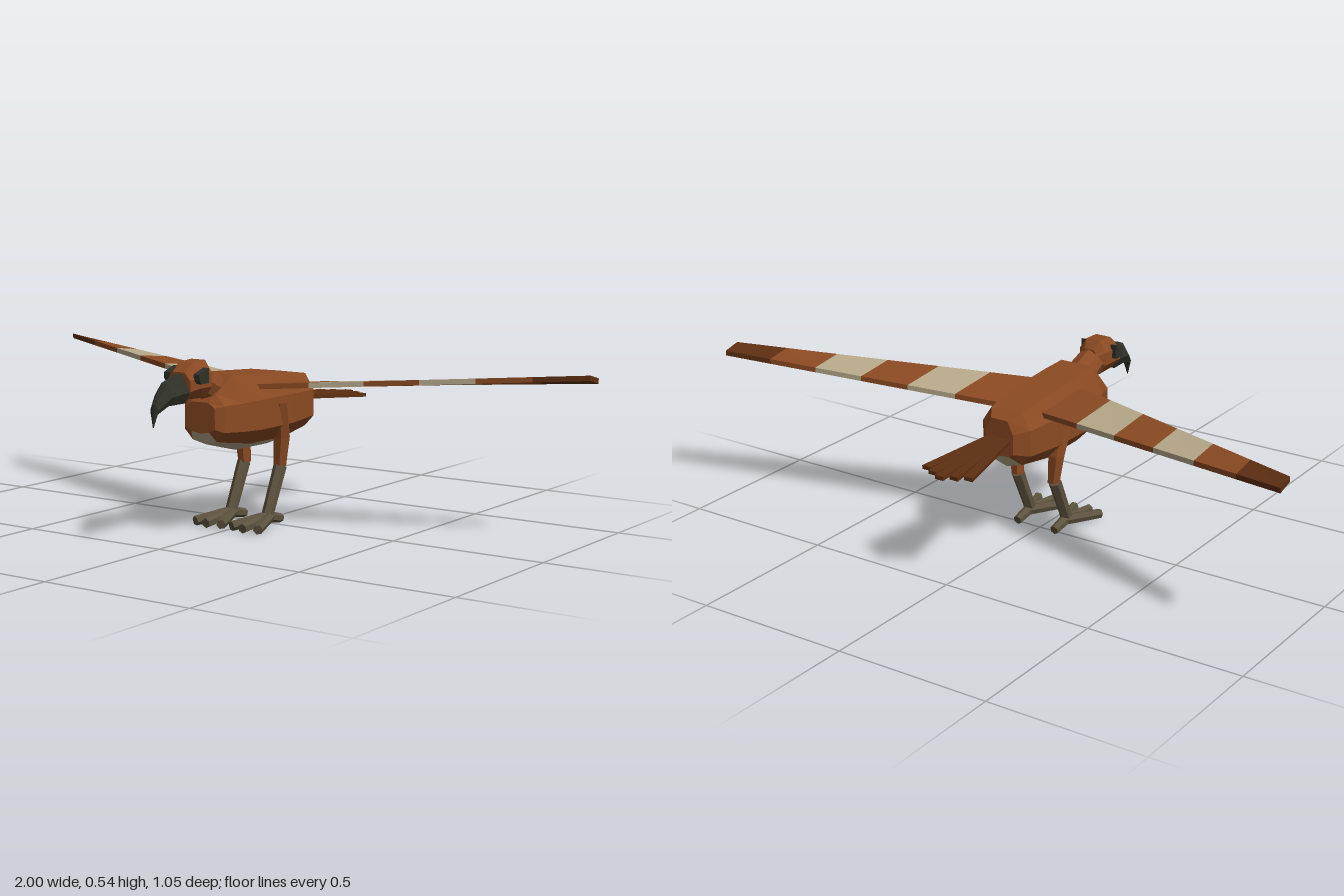
import * as THREE from 'three';

const mat = (name, color) => Object.assign(new THREE.MeshStandardMaterial({ color, flatShading: true }), { name });

// Skin a list of rings; each ring runs counter-clockwise about the direction of travel.
// side = -1 mirrors in x; keep(j) selects which strips to build.
function loft(rings, { side = 1, caps = true, keep = () => true } = {}) {
  const r = rings.map(ring => {
    const m = ring.map(([x, y, z]) => [x * side, y, z]);
    return side < 0 ? m.reverse() : m;
  });
  const n = r[0].length, pos = [];
  const tri = (a, b, c) => pos.push(...a, ...b, ...c);
  for (let i = 0; i < r.length - 1; i++) {
    for (let j = 0; j < n; j++) {
      if (!keep(j)) continue;
      const k = (j + 1) % n;
      tri(r[i][j], r[i][k], r[i + 1][k]);
      tri(r[i][j], r[i + 1][k], r[i + 1][j]);
    }
  }
  if (caps) {
    const a = r[0], b = r[r.length - 1];
    for (let j = 1; j < n - 1; j++) {
      tri(a[0], a[j + 1], a[j]);
      tri(b[0], b[j], b[j + 1]);
    }
  }
  const g = new THREE.BufferGeometry();
  g.setAttribute('position', new THREE.Float32BufferAttribute(pos, 3));
  g.computeVertexNormals();
  return g;
}

// Tapered straight prism between two points
function limb(from, to, r1, r2, sides = 6) {
  const a = new THREE.Vector3(...from), b = new THREE.Vector3(...to);
  const d = b.clone().sub(a);
  const g = new THREE.CylinderGeometry(r2, r1, d.length(), sides);
  g.applyQuaternion(new THREE.Quaternion().setFromUnitVectors(new THREE.Vector3(0, 1, 0), d.clone().normalize()));
  const c = a.add(b).multiplyScalar(0.5);
  return g.translate(c.x, c.y, c.z);
}

export function createModel() {
  const model = new THREE.Group();
  model.name = 'bird';
  const brown = mat('brown plumage', 0x8b4a22);
  const dark = mat('dark brown feathers', 0x5e2f12);
  const pale = mat('pale feathers', 0xb8a98a);
  const horn = mat('dark horn', 0x2f3128);
  const skin = mat('leg skin', 0x5c523e);
  const add = (name, geometry, material, parent = model) => {
    const m = new THREE.Mesh(geometry, material);
    m.name = name;
    parent.add(m);
  };

  // Body: z, bottom, belly edge x/y, side x, side low y, side high y, back x/y
  const body = [
    [-0.22, 0.322, 0.035, 0.325, 0.05, 0.335, 0.40, 0.03, 0.44],
    [-0.18, 0.274, 0.055, 0.29, 0.088, 0.325, 0.408, 0.055, 0.458],
    [-0.05, 0.244, 0.06, 0.27, 0.1, 0.318, 0.41, 0.063, 0.476],
    [0.12, 0.246, 0.06, 0.272, 0.102, 0.318, 0.41, 0.063, 0.487],
    [0.21, 0.268, 0.056, 0.284, 0.096, 0.322, 0.408, 0.058, 0.493],
    [0.275, 0.285, 0.045, 0.295, 0.075, 0.325, 0.405, 0.042, 0.44],
    [0.298, 0.32, 0.034, 0.325, 0.055, 0.335, 0.40, 0.03, 0.415],
  ].map(([z, b, ex, ey, w, l, u, t, ty]) => [
    [0, b, z], [ex, ey, z], [w, l, z], [w, u, z], [t, ty, z],
    [-t, ty, z], [-w, u, z], [-w, l, z], [-ex, ey, z],
  ]);
  const isBelly = j => j === 0 || j === 8;
  add('body', loft(body, { keep: j => !isBelly(j) }), brown);
  add('belly', loft(body, { caps: false, keep: isBelly }), pale);

  // Neck and head
  add('neck', limb([0, 0.435, 0.2], [0, 0.485, 0.315], 0.05, 0.044, 8), brown);
  const head = [
    [0.28, 0.46, 0.52, 0.033], [0.305, 0.432, 0.545, 0.05],
    [0.365, 0.435, 0.542, 0.052], [0.4, 0.436, 0.516, 0.044],
  ].map(([z, b, t, w]) => {
    const h = t - b, p = [[0.5, 0], [1, 0.3], [1, 0.68], [0.5, 1]];
    return [...p, ...p.map(([x, y]) => [-x, y]).reverse()].map(([x, y]) => [x * w, b + y * h, z]);
  });
  add('head', loft(head), brown);

  // Hooked beak: top z/y, bottom z/y, half width
  const beak = [
    [0.398, 0.511, 0.398, 0.425, 0.04], [0.468, 0.49, 0.476, 0.425, 0.034],
    [0.517, 0.432, 0.514, 0.403, 0.016], [0.523, 0.37, 0.521, 0.365, 0.002],
  ].map(([tz, ty, bz, by, w]) => [[0.6, 0], [1, 0.4], [0.35, 1], [-0.35, 1], [-1, 0.4], [-0.6, 0]]
    .map(([x, s]) => [x * w, by + (ty - by) * s, bz + (tz - bz) * s]));
  add('beak', loft(beak), horn);

  // Fanned tail feathers
  for (let i = -2; i <= 2; i++) {
    const end = -0.525 + 0.02 * Math.abs(i);
    const ring = (x, y, z, w) => [
      [x - w, y - 0.006, z], [x + w, y - 0.006, z], [x + w, y + 0.006, z], [x - w, y + 0.006, z]];
    add('tailFeather', loft([ring(i * 0.038, 0.356, end, 0.015), ring(i * 0.012, 0.377, -0.2, 0.014)]), dark);
  }

  // Wing section at distance x from the centre line
  const wingRing = x => {
    const t = (x - 0.07) / 0.93;
    const lead = 0.118 - 0.393 * t, trail = -0.1 - 0.23 * t;
    const yl = 0.447 + 0.055 * t, yt = 0.432 + 0.056 * t, h = 0.008;
    return [[x, yl - h, lead], [x, yt - h, trail], [x, yt + h, trail], [x, yl + h, lead]];
  };
  const edges = [0.05, 0.225, 0.38, 0.535, 0.69, 0.845, 1];
  const bands = [brown, pale, brown, pale, brown, dark];

  for (const side of [1, -1]) {
    const label = side > 0 ? 'left' : 'right';
    const group = name => {
      const g = new THREE.Group();
      g.name = label + name;
      model.add(g);
      return g;
    };

    // Banded wing
    const wing = group('Wing');
    bands.forEach((m, i) => add('wingBand', loft([wingRing(edges[i]), wingRing(edges[i + 1])], { side }), m, wing));

    // Raised eye
    const eye = [0.044, 0.066].map(x => [
      [x, 0.482, 0.378], [x, 0.482, 0.34], [x, 0.527, 0.34], [x, 0.511, 0.386], [x, 0.493, 0.386],
    ]);
    add(label + 'Eye', loft(eye, { side }), horn);

    // Feathered thigh: height, centre x, centre z, half widths
    const leg = group('Leg');
    const thigh = [
      [0.183, 0.068, -0.023, 0.021, 0.022], [0.275, 0.076, -0.021, 0.029, 0.027], [0.39, 0.09, 0.01, 0.026, 0.025],
    ].map(([y, cx, cz, wx, wz]) => Array.from({ length: 6 }, (_, k) => {
      const a = (k + 0.5) * Math.PI / 3;
      return [cx + wx * Math.sin(a), y, cz + wz * Math.cos(a)];
    }));
    add('thigh', loft(thigh, { side }), brown, leg);

    // Shin and toes
    const x = 0.07 * side;
    add('shin', limb([x, 0.183, -0.021], [x, 0.04, 0.046], 0.021, 0.019), skin, leg);
    for (const s of [-1, 0, 1]) {
      add('frontToe', limb([x, 0.032, 0.035], [x + s * 0.05, 0.0165, 0.18 - 0.012 * Math.abs(s)], 0.018, 0.0155), skin, leg);
    }
    add('backToe', limb([x, 0.032, 0.045], [x, 0.0165, -0.024], 0.018, 0.0145), skin, leg);
  }
  return model;
}
